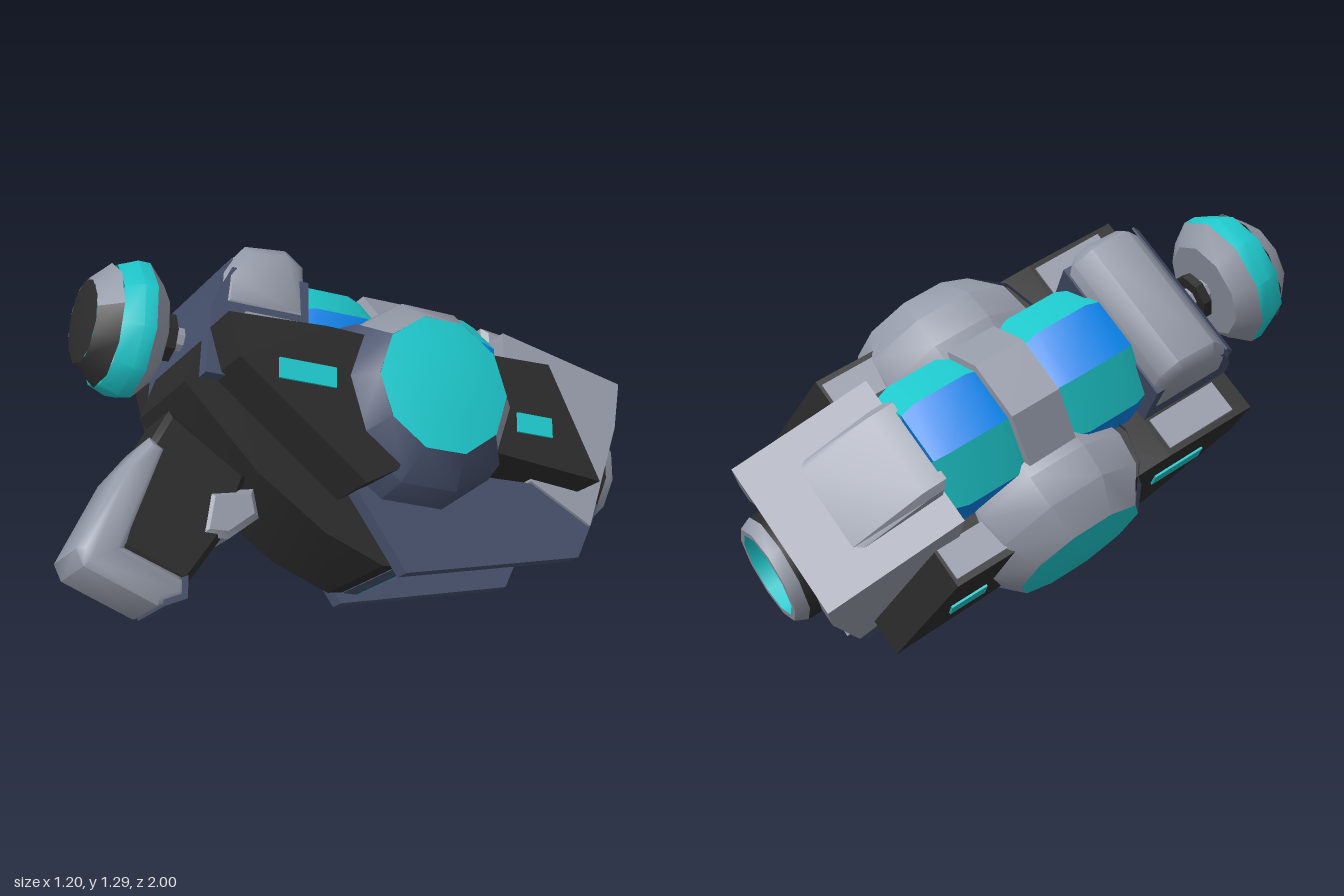
import * as THREE from 'three';
import { toCreasedNormals, mergeGeometries } from 'three/addons/utils/BufferGeometryUtils.js';

export function createModel() {
  const mat = (name, color) => {
    const m = new THREE.MeshStandardMaterial({ color, side: THREE.DoubleSide });
    m.name = name;
    return m;
  };
  const gray = mat('grayMetal', 0x959aa8);
  const navy = mat('navyMetal', 0x46506b);
  const black = mat('blackMetal', 0x2b2b2b);
  const teal = mat('tealGlow', 0x1ec8cc);
  const blue = mat('blueGlow', 0x0882e8);

  // The blaster lies rolled and pitched; locally +y is up and -z is forward.
  const gun = new THREE.Group();
  gun.name = 'blaster';
  gun.rotation.set(THREE.MathUtils.degToRad(-26), 0, THREE.MathUtils.degToRad(40.5), 'ZXY');
  gun.position.set(0, 0.65, 0);

  const add = (name, geo, material, crease = 0.7) => {
    const mesh = new THREE.Mesh(toCreasedNormals(geo, crease), material);
    mesh.name = name;
    gun.add(mesh);
    return mesh;
  };
  // Side outline of [z, y] points, extruded across x from x0 to x1.
  const prism = (name, pts, x0, x1, material, bevel = 0, crease = 0.5) => {
    const shape = new THREE.Shape(pts.map(p => new THREE.Vector2(p[0], p[1])));
    const depth = x1 - x0 - 2 * bevel;
    const geo = new THREE.ExtrudeGeometry(shape, {
      depth, bevelEnabled: bevel > 0, bevelSize: bevel, bevelOffset: -bevel,
      bevelThickness: bevel, bevelSegments: 1, curveSegments: 4,
    });
    geo.translate(0, 0, -depth / 2);
    geo.rotateY(-Math.PI / 2);
    geo.translate((x0 + x1) / 2, 0, 0);
    return add(name, geo, material, crease);
  };
  const box = (name, w, h, d, x, y, z, material) =>
    add(name, new THREE.BoxGeometry(w, h, d).translate(x, y, z), material);
  const lathe = (pts, segs, start = 0, len = Math.PI * 2) =>
    new THREE.LatheGeometry(pts.map(p => new THREE.Vector2(p[0], p[1])), segs, start, len);

  // Central body, hollowed underneath
  prism('body', [[0.585, 0.06], [0.34, -0.19], [0.11, -0.35], [-0.09, -0.43], [-0.16, -0.42], [-0.19, -0.19],
    [-0.76, -0.15], [-0.76, 0.24], [0.5, 0.3]], -0.19, 0.19, black);

  for (const s of [-1, 1]) {
    const span = (a, b) => (s > 0 ? [a, b] : [-b, -a]);
    // Side slabs behind and ahead of the pod, with inset strips
    prism('rearSlab', [[0.53, 0.225], [0.49, 0.09], [0.07, -0.24], [-0.04, -0.18], [-0.1, 0.0], [-0.1, 0.23],
      [0.2, 0.24]], ...span(0.17, 0.385), black);
    prism('frontSlab', [[-0.25, 0.25], [-0.25, -0.06], [-0.78, -0.11], [-0.6, 0.26]], ...span(0.17, 0.385), black);
    box('rearStrip', 0.008, 0.065, 0.19, s * 0.388, 0.075, 0.27, teal);
    box('frontStrip', 0.008, 0.065, 0.13, s * 0.388, 0.04, -0.535, teal);
    box('rearTopPlate', 0.11, 0.02, 0.25, s * 0.31, 0.235, 0.34, gray);
    box('frontTopPlate', 0.11, 0.02, 0.18, s * 0.31, 0.255, -0.5, gray);

    // Lower fins
    prism('fin', [[0.04, -0.12], [0.03, -0.22], [-0.14, -0.46], [-0.78, -0.33], [-0.87, -0.14], [-0.75, -0.1]],
      ...span(0.188, 0.248), navy);

    // Side pods: gray half facing up and forward, deeper navy half facing down and back
    const place = g => g.rotateZ(-s * Math.PI / 2).translate(0, 0.09, -0.165);
    const mid = -s * 2.214;
    const profile = lip => [[0.3 + lip, 0.17], [0.32 + lip, 0.25], [0.305 + lip / 2, 0.355], [0.225, 0.455]];
    add('podUpper', place(lathe(profile(0), 5, mid - Math.PI / 2, Math.PI)), gray);
    add('podLower', place(lathe(profile(0.025), 5, mid + Math.PI / 2, Math.PI)), navy);
    add('podLens', place(lathe([[0.225, 0.455], [0.14, 0.47], [0, 0.475]], 10)), teal);

    // Muzzle hood cheeks
    prism('hoodCheek', [[-0.53, 0.38], [-0.97, 0.3], [-0.945, 0.14], [-0.825, -0.22], [-0.6, -0.1]],
      ...span(0.2, 0.26), gray);
  }

  // Underside cavity with its square port
  box('cavityRearBar', 0.42, 0.1, 0.05, 0, -0.375, -0.17, navy);
  box('cavityRearWall', 0.37, 0.235, 0.008, 0, -0.305, -0.2, teal);
  prism('cavityFloor', [[-0.2, -0.194], [-0.62, -0.164], [-0.62, -0.172], [-0.2, -0.202]], -0.18, 0.18, teal);
  for (const s of [-1, 1]) {
    box('portSide', 0.035, 0.08, 0.27, s * 0.125, -0.235, -0.47, teal);
    box('portEnd', 0.285, 0.08, 0.035, 0, -0.235, -0.47 + s * 0.125, teal);
  }
  box('portHole', 0.22, 0.008, 0.22, 0, -0.255, -0.47, black);

  // Muzzle hood top and ridge
  prism('hoodTop', [[-0.51, 0.4], [-0.97, 0.3], [-0.955, 0.23], [-0.51, 0.2]], -0.26, 0.26, gray);
  prism('hoodRidge', [[-0.5, 0.46], [-0.58, 0.45], [-0.82, 0.33], [-0.5, 0.33]], -0.16, 0.16, gray, 0.02);

  // Barrel and muzzle ring with a deep tapering bore
  const aim = g => g.rotateX(-Math.PI / 2).translate(0, 0.045, -0.88);
  add('barrel', aim(lathe([[0.15, -0.15], [0.155, 0.02], [0.178, 0.04], [0.178, 0.085]], 10)), black);
  add('muzzleRing', aim(lathe([[0.178, 0.085], [0.16, 0.125], [0.138, 0.125]], 10)), gray);
  add('muzzleBore', aim(lathe([[0.138, 0.125], [0.1, -0.3], [0, -0.36]], 10)), teal);

  // Energy cells: eight faces in alternating colours along a shared axis
  const faceted = (name, z, pts, colours) => {
    const byColour = new Map();
    for (let i = 0; i < 8; i++) {
      const geo = lathe(pts, 1, (i - 0.5) * Math.PI / 4, Math.PI / 4)
        .rotateX(Math.PI / 2).translate(0, 0.28, z);
      const m = colours(Math.abs(i - 4));
      byColour.set(m, [...(byColour.get(m) || []), geo]);
    }
    byColour.forEach((list, m) => add(name, mergeGeometries(list), m, 0.5));
  };
  const cell = [[0, -0.14], [0.22, -0.14], [0.238, -0.09], [0.238, 0.09], [0.22, 0.14], [0, 0.14]];
  const band = [[0.19, -0.1], [0.248, -0.085], [0.248, 0.085], [0.19, 0.1]];
  for (const z of [-0.37, 0.07]) faceted('energyCell', z, cell, k => (k % 2 ? teal : blue));
  faceted('cellBand', -0.16, band, k => (k < 2 ? gray : navy));

  // Rear block with a gray cap
  prism('rearBlock', [[0.2, 0.08], [0.54, 0.08], [0.53, 0.3], [0.46, 0.44], [0.2, 0.44]], -0.245, 0.245, navy);
  prism('rearCap', [[0.2, 0.3], [0.5, 0.3], [0.49, 0.42], [0.41, 0.53], [0.27, 0.545], [0.21, 0.5]],
    -0.25, 0.25, gray, 0.03, 0.9);
  prism('rearCapPanel', [[0.506, 0.28], [0.5, 0.42], [0.465, 0.47], [0.46, 0.465], [0.49, 0.415], [0.497, 0.28]],
    -0.245, 0.245, navy);

  // Rear knob on its stem
  const knob = g => g.rotateX(Math.PI / 2).translate(0.01, 0.27, 0.63);
  add('knobStem', knob(lathe([[0.04, -0.14], [0.04, 0.03]], 8)), gray);
  add('knobCollar', knob(lathe([[0, -0.06], [0.08, -0.06], [0.08, -0.03], [0, -0.03]], 8)), black);
  add('knobBack', knob(lathe([[0, 0], [0.16, 0], [0.22, 0.06]], 10)), gray);
  add('knobRim', knob(lathe([[0.22, 0.06], [0.22, 0.1], [0.195, 0.16]], 10)), teal);
  const dome = [[0.195, 0.16], [0.135, 0.225]];
  add('knobDomeUpper', knob(lathe(dome, 5, Math.PI / 2, Math.PI)), gray);
  add('knobDomeLower', knob(lathe(dome, 5, -Math.PI / 2, Math.PI)), black);
  add('knobTip', knob(lathe([[0.135, 0.225], [0, 0.25]], 10)), black);

  // Raked grip, butt and trigger
  prism('grip', [[0.6, -0.01], [0.34, -0.18], [0.4, -0.36], [0.53, -0.55], [0.75, -0.46], [0.66, -0.12]],
    -0.095, 0.125, black, 0.02);
  prism('butt', [[0.665, -0.11], [0.75, -0.22], [0.875, -0.48], [0.85, -0.53], [0.62, -0.62], [0.54, -0.585],
    [0.54, -0.53], [0.73, -0.46], [0.615, -0.14]], -0.1, 0.14, gray, 0.02, 0.9);
  prism('buttToe', [[0.53, -0.52], [0.53, -0.59], [0.6, -0.62], [0.62, -0.56]], -0.09, 0.13, navy);
  prism('trigger', [[0.32, -0.22], [0.3, -0.31], [0.4, -0.39], [0.49, -0.39], [0.47, -0.25]], -0.1, 0.135, gray, 0.02);

  const model = new THREE.Group();
  model.name = 'model';
  model.add(gun);
  return model;
}
